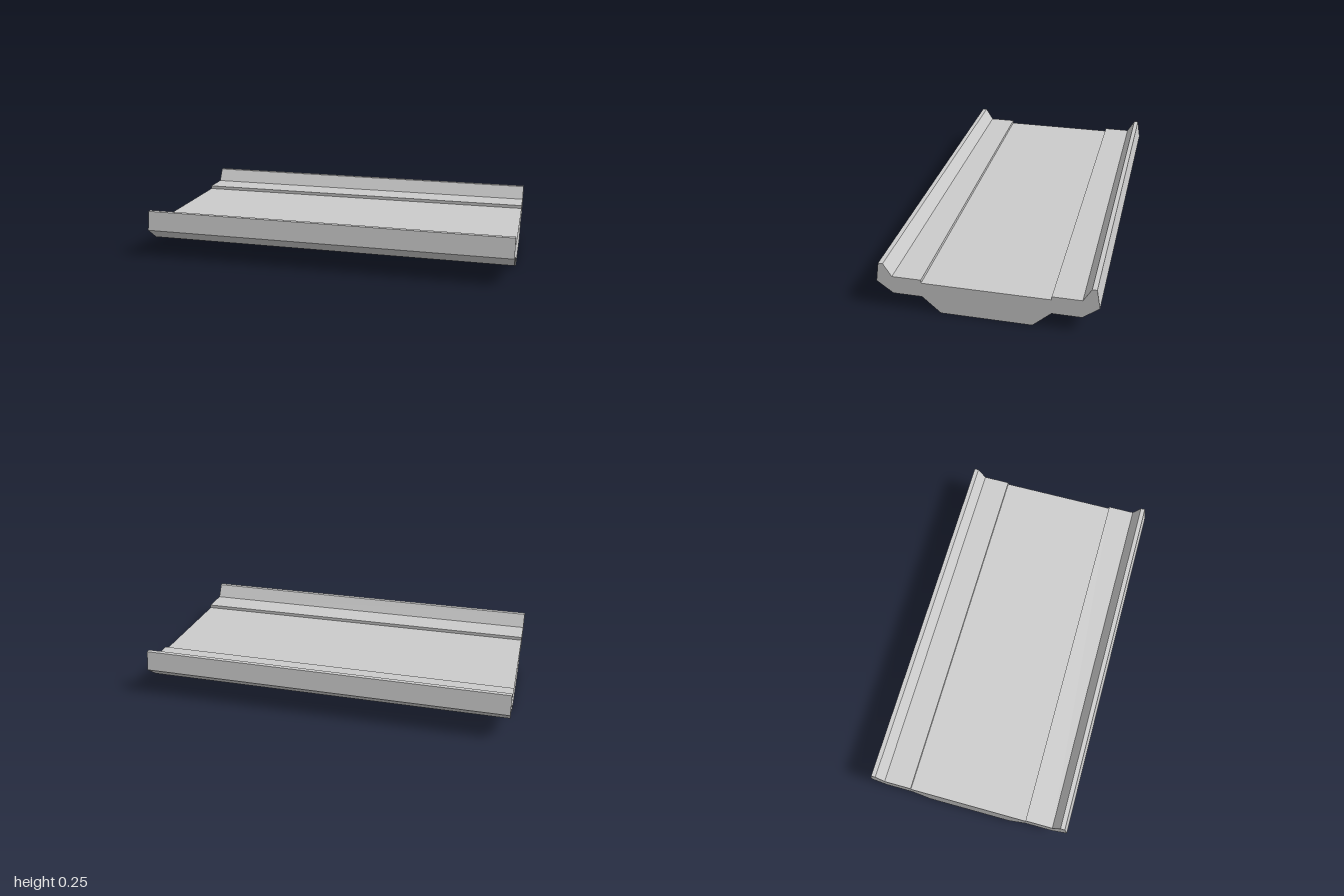
import * as THREE from 'three';

export function createModel() {
  const group = new THREE.Group();
  group.name = 'channelSlab';

  // Half of the cross-section (depth, height), from the base up to the deck
  const half = [
    [0.233, 0], [0.327, 0.086], [0.477, 0.086], [0.56, 0.15], [0.543, 0.255],
    [0.519, 0.255], [0.477, 0.185], [0.327, 0.185], [0.327, 0.167],
  ];
  const mirrored = half.map(([d, y]) => [-d, y]).reverse();
  const profile = new THREE.Shape([...half, ...mirrored].map(([d, y]) => new THREE.Vector2(d, y)));

  // Sweep the section along x
  const length = 2;
  const geometry = new THREE.ExtrudeGeometry(profile, { depth: length, bevelEnabled: false });
  geometry.translate(0, 0, -length / 2);
  geometry.rotateY(Math.PI / 2);

  const slab = new THREE.Mesh(
    geometry,
    new THREE.MeshStandardMaterial({ color: 0xcccccc, flatShading: true }),
  );
  slab.name = 'slabWithRaisedEdges';
  group.add(slab);
  return group;
}
